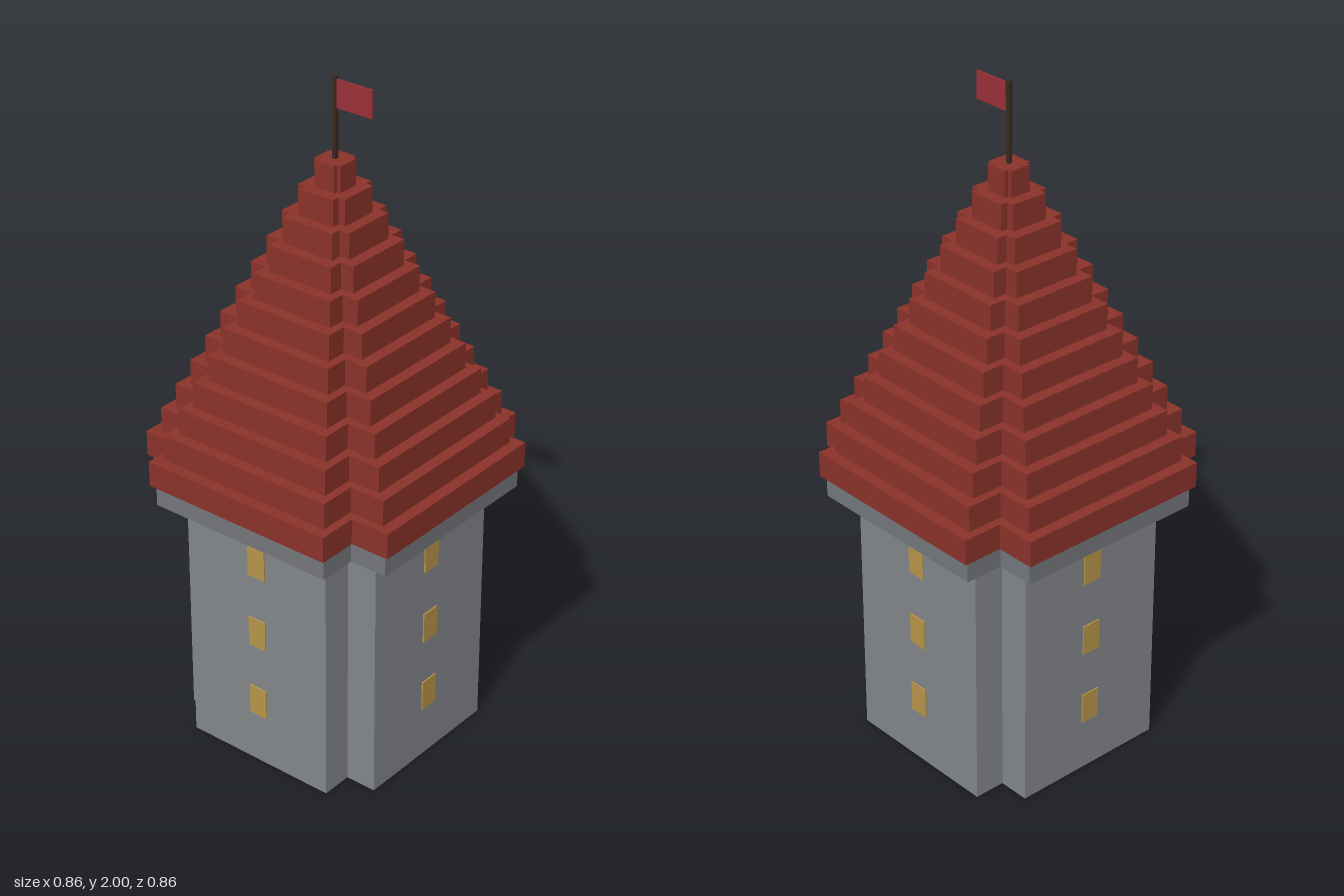
import * as THREE from 'three';

const material = (color) => new THREE.MeshStandardMaterial({ color, flatShading: true });

// Upright prism with a plus-shaped plan; the arms are 72% as wide as the whole
function crossPrism(name, half, y0, y1, mat) {
  const a = half, b = half * 0.72;
  const corners = [
    [a, -b], [a, b], [b, b], [b, a], [-b, a], [-b, b],
    [-a, b], [-a, -b], [-b, -b], [-b, -a], [b, -a], [b, -b],
  ];
  const shape = new THREE.Shape(corners.map(([x, y]) => new THREE.Vector2(x, y)));
  const geo = new THREE.ExtrudeGeometry(shape, { depth: y1 - y0, bevelEnabled: false });
  geo.rotateX(-Math.PI / 2);
  const mesh = new THREE.Mesh(geo, mat);
  mesh.name = name;
  mesh.position.y = y0;
  return mesh;
}

function box(name, w, h, d, x, y, z, mat) {
  const mesh = new THREE.Mesh(new THREE.BoxGeometry(w, h, d), mat);
  mesh.name = name;
  mesh.position.set(x, y, z);
  return mesh;
}

export function createModel() {
  const tower = new THREE.Group();
  tower.name = 'tower';
  const stone = material(0x84878b);
  const trim = material(0x74777c);
  const tile = material(0x8b332a);
  const glass = material(0xb8964a);
  const wood = material(0x3a2a20);
  const cloth = material(0x9b3138);

  // Walls and the ledge under the roof
  tower.add(crossPrism('walls', 0.342, 0, 0.78, stone));
  tower.add(crossPrism('cornice', 0.415, 0.78, 0.845, trim));

  // Stepped roof
  const roof = new THREE.Group();
  roof.name = 'roof';
  const tiers = 12, base = 0.845, rise = 0.077;
  for (let i = 0; i < tiers; i++) {
    const half = 0.43 - i * 0.035;
    roof.add(crossPrism('roofTier', half, base + i * rise, base + (i + 1) * rise, tile));
  }
  tower.add(roof);

  // Three windows up each of the four sides
  for (let side = 0; side < 4; side++) {
    const column = new THREE.Group();
    column.name = 'windowColumn';
    column.rotation.y = side * Math.PI / 2;
    for (const y of [0.207, 0.44, 0.673]) {
      column.add(box('window', 0.06, 0.094, 0.012, 0, y, 0.34, glass));
    }
    tower.add(column);
  }

  // Flagpole and flag
  tower.add(box('flagpole', 0.012, 0.231, 0.012, 0, 1.8845, 0, wood));
  tower.add(box('flag', 0.118, 0.08, 0.006, 0.065, 1.953, 0, cloth));
  return tower;
}
